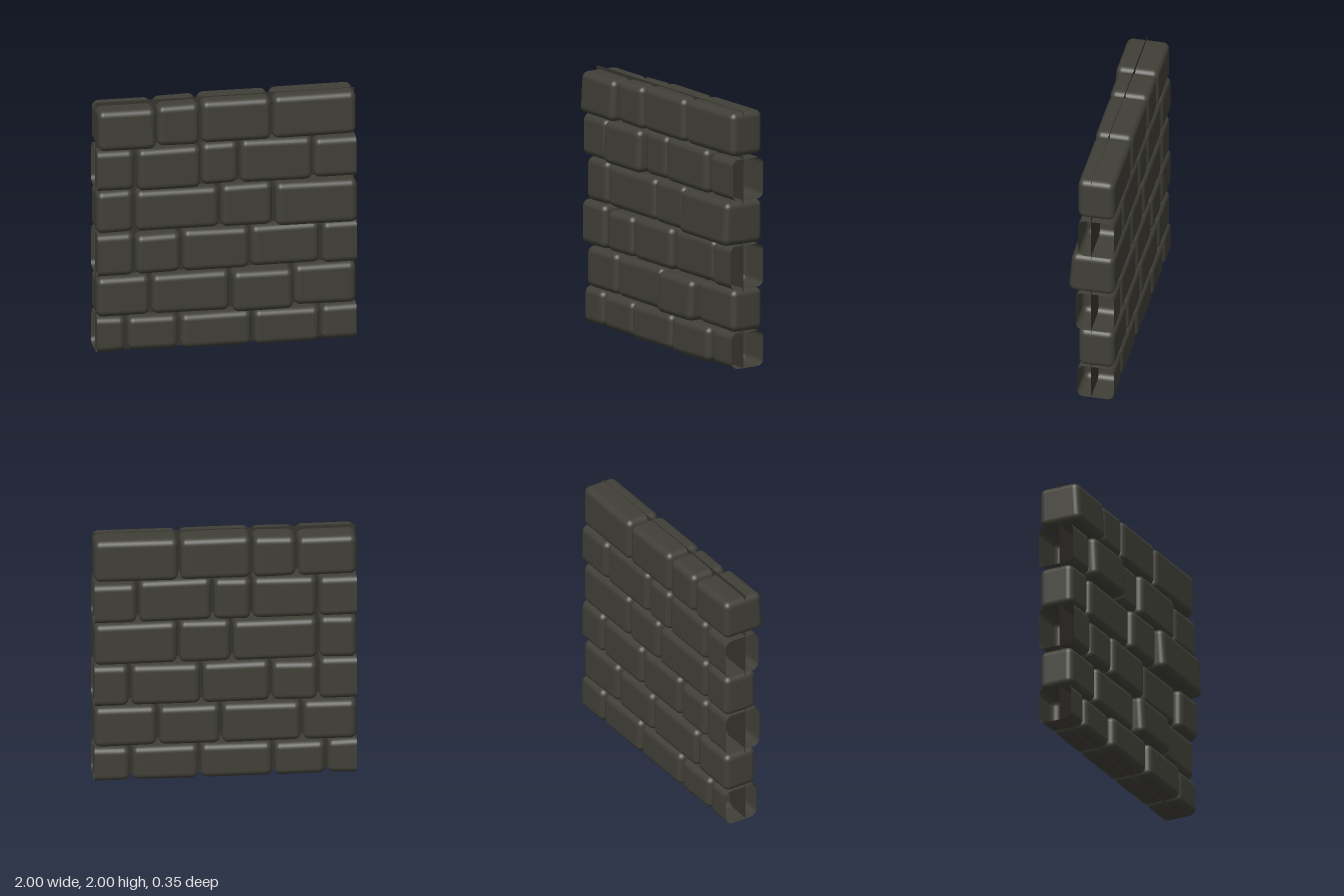
import * as THREE from 'three';
import { RoundedBoxGeometry } from 'three/addons/geometries/RoundedBoxGeometry.js';

const BACK = -0.178, GAP = 0.009;

// Courses from the ground up: bottom y, joints along x, top y and front z of each brick.
// Joints past x = 1 or -1 give bricks cut off open there so the wall can tile.
const courses = [
  { bottom: 0.012, joints: [-1.3, -0.77, -0.365, 0.197, 0.72, 1.3],
    top: [0.287, 0.275, 0.283, 0.283, 0.283], front: [0.1, 0.1, 0.125, 0.14, 0.11] },
  { bottom: 0.295, joints: [-1, -0.583, 0.033, 0.515, 1],
    top: [0.607, 0.608, 0.608, 0.615], front: [0.1, 0.105, 0.17, 0.1] },
  { bottom: 0.63, joints: [-1.3, -0.708, -0.348, 0.183, 0.728, 1.3],
    top: [0.965, 0.94, 0.955, 0.953, 0.958], front: [0.125, 0.115, 0.115, 0.09, 0.12] },
  { bottom: 0.971, joints: [-1, -0.708, -0.05, 0.36, 1],
    top: [1.303, 1.293, 1.307, 1.305], front: [0.1, 0.105, 0.12, 0.18] },
  { bottom: 1.316, joints: [-1.3, -0.703, -0.2, 0.098, 0.668, 1.3],
    top: [1.633, 1.643, 1.645, 1.655, 1.63], front: [0.115, 0.16, 0.1, 0.12, 0.1] },
  { bottom: 1.655, joints: [-1, -0.545, -0.203, 0.352, 1],
    top: [1.97, 1.978, 1.988, 1.992], front: [0.17, 0.125, 0.115, 0.105] },
];

// Small repeatable unevenness for the hand-cut corners
let seed = 7;
function jitter(amount) {
  seed = (seed * 16807) % 2147483647;
  return (seed / 2147483647 - 0.5) * 2 * amount;
}

// Rounded block, uneven and swelling at mid depth, trimmed at the wall ends
function brickGeometry(x0, x1, y0, y1, front) {
  const w = x1 - x0, h = y1 - y0, d = front - BACK;
  const geo = new RoundedBoxGeometry(w, h, d, 4, 0.05);
  const p = geo.attributes.position, n = geo.attributes.normal;
  const slopeTop = jitter(0.008), slopeBottom = jitter(0.008);
  for (let i = 0; i < p.count; i++) {
    const u = p.getX(i) / w, v = p.getY(i) / h, s = p.getZ(i) / d;
    const swell = 0.012 * (1 - 4 * s * s);
    // Thick blocks lean back a little towards the top
    const lean = Math.max(0, front - 0.13) * 0.5 * (s + 0.5) * (v + 0.5);
    p.setXYZ(i,
      THREE.MathUtils.clamp((x0 + x1) / 2 + w * u, -1, 1),
      (y0 + y1) / 2 + (h + swell) * v + u * THREE.MathUtils.lerp(slopeBottom, slopeTop, v + 0.5),
      p.getZ(i) + (front + BACK) / 2 - lean);
  }

  // Keep only the faces that are not flattened onto a cut end
  if (x1 <= 1 && x0 >= -1) return geo;
  const cutEnd = x1 > 1 ? 1 : -1;
  const pos = [], nor = [];
  for (let i = 0; i < p.count; i += 3) {
    const corners = [i, i + 1, i + 2];
    if (corners.every((k) => p.getX(k) === cutEnd)) continue;
    for (const k of corners) {
      pos.push(p.getX(k), p.getY(k), p.getZ(k));
      nor.push(n.getX(k), n.getY(k), n.getZ(k));
    }
  }
  const cut = new THREE.BufferGeometry();
  cut.setAttribute('position', new THREE.Float32BufferAttribute(pos, 3));
  cut.setAttribute('normal', new THREE.Float32BufferAttribute(nor, 3));
  return cut;
}

export function createModel() {
  const stone = new THREE.MeshStandardMaterial({ color: 0x403f37, side: THREE.DoubleSide });
  stone.name = 'dark stone';
  const mortar = new THREE.MeshStandardMaterial({ color: 0x36342d, side: THREE.DoubleSide });
  mortar.name = 'mortar';

  const wall = new THREE.Group();
  wall.name = 'brickWall';

  // Courses of bricks; outer ends sit flush, inner ends leave a joint
  courses.forEach(({ bottom, joints, top, front }, c) => {
    const course = new THREE.Group();
    course.name = `course${c + 1}`;
    front.forEach((z, i) => {
      const left = joints[i] + (i > 0 ? GAP : 0);
      const right = joints[i + 1] - (i < front.length - 1 ? GAP : 0);
      const mesh = new THREE.Mesh(brickGeometry(left, right, bottom, top[i], z), stone);
      mesh.name = `brick${i + 1}`;
      course.add(mesh);
    });
    wall.add(course);
  });

  // Thin sheet filling the joints
  const sheet = new THREE.Mesh(new THREE.PlaneGeometry(2, 2), mortar);
  sheet.name = 'mortarSheet';
  sheet.position.y = 1;
  wall.add(sheet);

  return wall;
}
